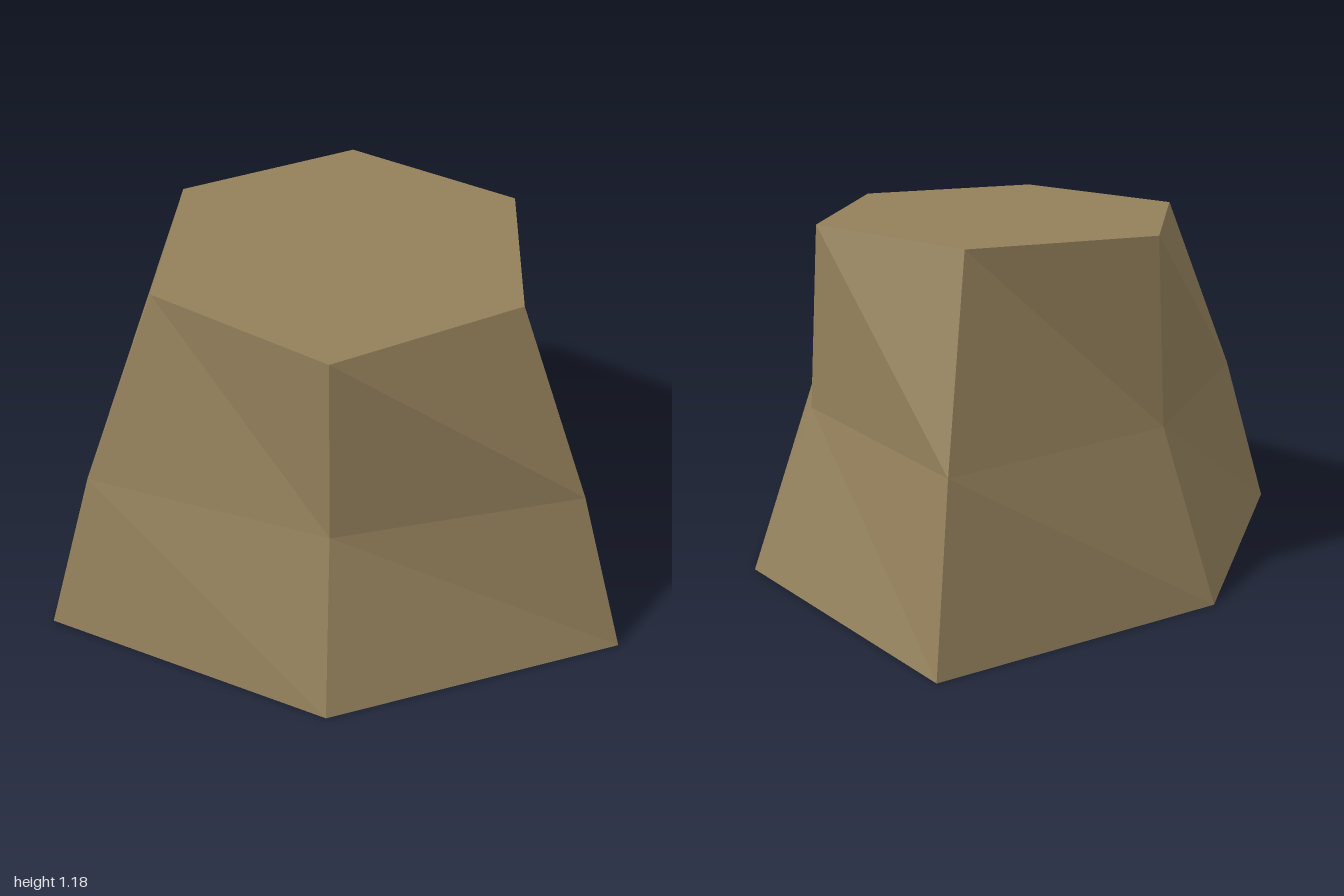
import * as THREE from 'three';

// One six-sided ring: front point, front corners, back corners, back point
function ring(y, front, [cornerX, cornerZ], [backX, backZ], back) {
  return [
    [0, y, front], [cornerX, y, cornerZ], [backX, y, backZ],
    [0, y, back], [-backX, y, backZ], [-cornerX, y, cornerZ],
  ];
}

function loft(rings) {
  const positions = [];
  const tri = (a, b, c) => positions.push(...a, ...b, ...c);
  // Sloped sides between neighbouring rings
  for (let r = 0; r < rings.length - 1; r++) {
    const low = rings[r], high = rings[r + 1];
    for (let i = 0; i < 6; i++) {
      const j = (i + 1) % 6;
      tri(low[i], low[j], high[i]);
      tri(low[j], high[j], high[i]);
    }
  }
  // Flat top and base
  const base = rings[0], top = rings[rings.length - 1];
  for (let i = 1; i < 5; i++) {
    tri(top[0], top[i], top[i + 1]);
    tri(base[0], base[i + 1], base[i]);
  }
  const geometry = new THREE.BufferGeometry();
  geometry.setAttribute('position', new THREE.Float32BufferAttribute(positions, 3));
  geometry.computeVertexNormals();
  return geometry;
}

export function createModel() {
  const group = new THREE.Group();
  group.name = 'rock';

  const stone = new THREE.MeshStandardMaterial({ color: 0x93805b, flatShading: true });
  stone.name = 'brown stone';

  // Flared foot, waist and flat hexagonal top
  const body = new THREE.Mesh(loft([
    ring(0, 1, [0.945, 0.645], [0.78, -0.355], -1),
    ring(0.56, 0.775, [0.785, 0.55], [0.59, -0.24], -0.81),
    ring(1.18, 0.735, [0.553, 0.415], [0.553, -0.225], -0.54),
  ]), stone);
  body.name = 'rockBody';
  group.add(body);
  return group;
}
